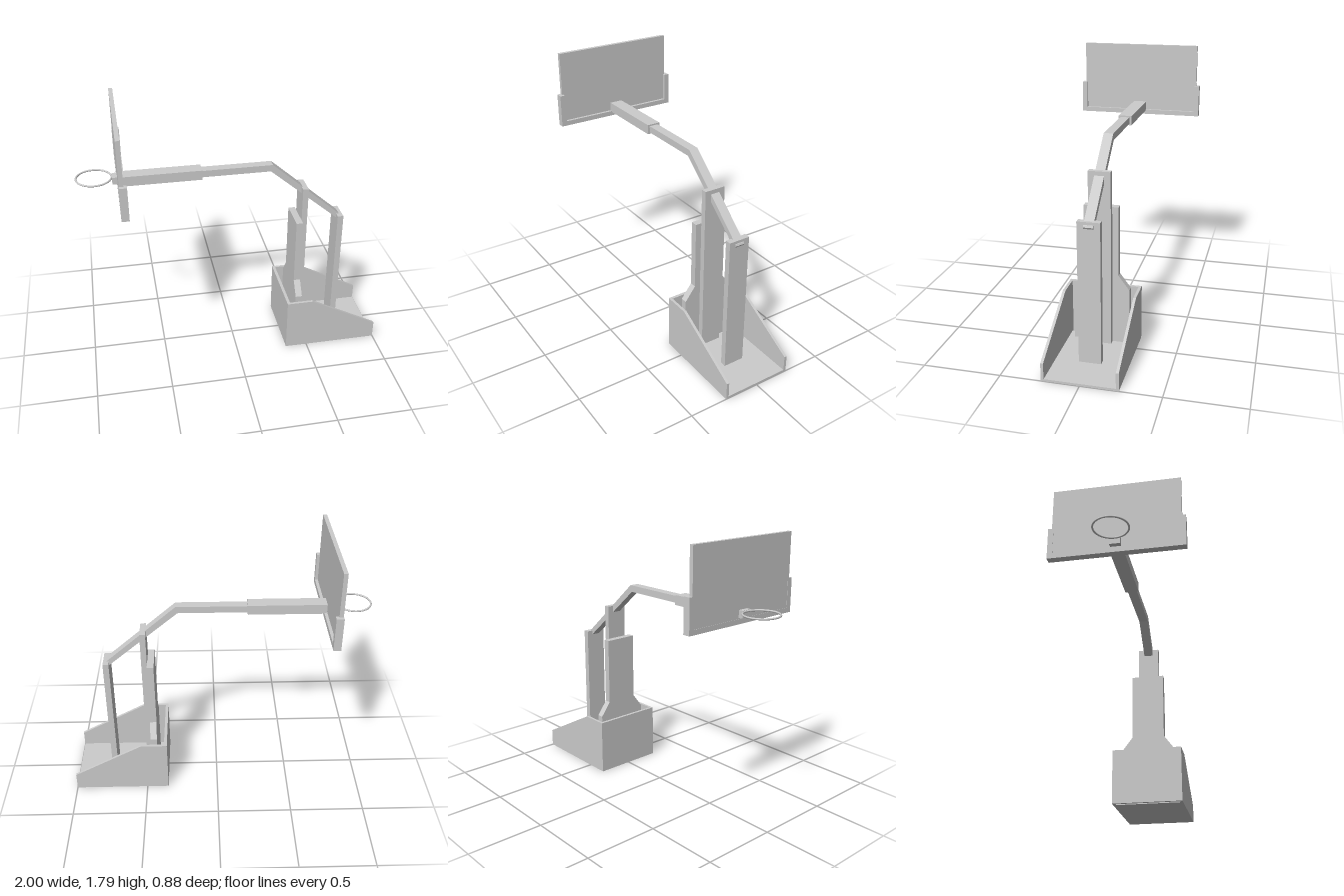
import * as THREE from 'three';

const material = new THREE.MeshStandardMaterial({ color: 0xcccccc, flatShading: true });
const smoothMaterial = new THREE.MeshStandardMaterial({ color: 0xcccccc });

export function createModel() {
  const model = new THREE.Group();
  model.name = 'basketballHoop';

  function add(name, geometry, mat = material) {
    const mesh = new THREE.Mesh(geometry, mat);
    mesh.name = name;
    model.add(mesh);
    return mesh;
  }

  // Box given by its extents along each axis
  function box(name, x0, x1, y0, y1, z0, z1) {
    const mesh = add(name, new THREE.BoxGeometry(x1 - x0, y1 - y0, z1 - z0));
    mesh.position.set((x0 + x1) / 2, (y0 + y1) / 2, (z0 + z1) / 2);
  }

  const outline = (points) => new THREE.Shape(points.map(([a, b]) => new THREE.Vector2(a, b)));

  // Side profile (x, y) extruded from z0 to z1
  function sideProfile(name, points, z0, z1) {
    const geometry = new THREE.ExtrudeGeometry(outline(points), { depth: z1 - z0, bevelEnabled: false });
    add(name, geometry.translate(0, 0, z0));
  }

  // Symmetric face profile (z, y) extruded from x0 to x1
  function faceProfile(name, points, x0, x1) {
    const geometry = new THREE.ExtrudeGeometry(outline(points), { depth: x1 - x0, bevelEnabled: false });
    add(name, geometry.rotateY(Math.PI / 2).translate(x0, 0, 0));
  }

  // Open base tray with sloping sides and a slot behind the end wall
  const wall = [[0.35, 0], [1, 0], [1, 0.12], [0.53, 0.375], [0.35, 0.375]];
  sideProfile('baseSideLeft', wall, 0.222, 0.24);
  sideProfile('baseSideRight', wall, -0.24, -0.222);
  box('baseEndWall', 0.35, 0.37, 0, 0.375, -0.222, 0.222);
  box('baseFloor', 0.395, 1, 0, 0.015, -0.222, 0.222);

  // Two upright posts
  box('tallPost', 0.465, 0.503, 0.015, 1.18, -0.072, 0.072);
  box('shortPost', 0.72, 0.76, 0.015, 0.947, -0.072, 0.072);

  // Protective pad, flared towards the base
  faceProfile('postPad', [
    [-0.183, 0.015], [0.183, 0.015], [0.183, 0.39], [0.112, 0.485],
    [0.112, 0.945], [-0.112, 0.945], [-0.112, 0.485], [-0.183, 0.39],
  ], 0.42, 0.465);

  // Bent arm and its wider sleeve
  sideProfile('arm', [
    [-0.22, 1.315], [0.252, 1.315], [0.738, 0.903], [0.757, 0.899], [0.767, 0.915],
    [0.762, 0.927], [0.265, 1.36], [-0.22, 1.36],
  ], -0.031, 0.031);
  box('armSleeve', -0.71, -0.2, 1.305, 1.37, -0.045, 0.045);

  // Backboard with a U-shaped pad around its lower edge
  box('backboard', -0.738, -0.712, 1.312, 1.787, -0.414, 0.414);
  faceProfile('backboardPad', [
    [-0.438, 1.28], [0.438, 1.28], [0.438, 1.5], [0.403, 1.5],
    [0.403, 1.312], [-0.403, 1.312], [-0.403, 1.5], [-0.438, 1.5],
  ], -0.74, -0.692);

  // Rim and its bracket
  box('rimBracket', -0.77, -0.735, 1.32, 1.367, -0.035, 0.035);
  const rim = add('rim', new THREE.TorusGeometry(0.111, 0.006, 10, 48), smoothMaterial);
  rim.rotation.x = Math.PI / 2;
  rim.position.set(-0.883, 1.36, 0);

  return model;
}
